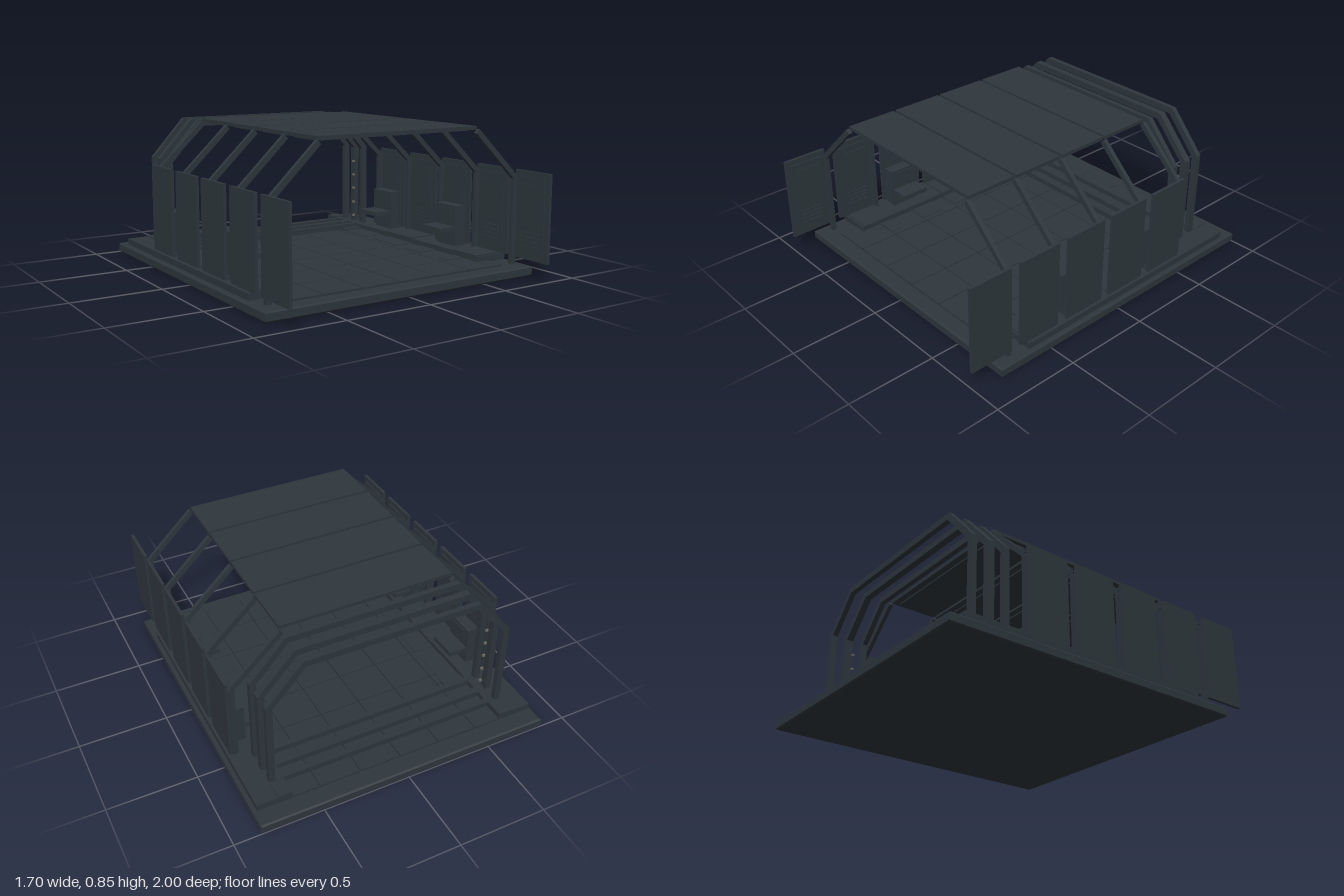
import * as THREE from 'three';

export function createModel() {
  const model = new THREE.Group();
  const mat = (name, color) => {
    const m = new THREE.MeshStandardMaterial({ color });
    m.name = name;
    return m;
  };
  const steel = mat('dark slate steel', 0x2e373d);
  const brass = mat('dull stud metal', 0x6a6a60);

  const add = (name, geo, parent = model, material = steel) => {
    const mesh = new THREE.Mesh(geo, material);
    mesh.name = name;
    parent.add(mesh);
    return mesh;
  };
  // box given by its limits on each axis
  const box = (name, x0, x1, y0, y1, z0, z1, parent, material) => {
    const mesh = add(name, new THREE.BoxGeometry(Math.abs(x1 - x0), y1 - y0, z1 - z0), parent, material);
    mesh.position.set((x0 + x1) / 2, (y0 + y1) / 2, (z0 + z1) / 2);
    return mesh;
  };
  const poly = (Type, pts) => new Type(pts.map(([x, y]) => new THREE.Vector2(x, y)));
  const group = (name) => {
    const g = new THREE.Group();
    g.name = name;
    model.add(g);
    return g;
  };

  // base slab with a small bevel
  const slab = new THREE.ExtrudeGeometry(
    poly(THREE.Shape, [[-0.842, -0.832], [0.842, -0.832], [0.842, 0.992], [-0.842, 0.992]]),
    { depth: 0.039, bevelSize: 0.008, bevelThickness: 0.008, bevelSegments: 1 });
  slab.rotateX(-Math.PI / 2).translate(0, 0.008, 0);
  add('baseSlab', slab);

  // floor tiles
  const floor = group('floor');
  const pitch = 0.237, rows = 7, depth = 1.65 / rows;
  for (let i = 0; i < 6; i++) {
    for (let j = 0; j < rows; j++) {
      const x = -0.711 + i * pitch, z = -0.9 + j * depth;
      box('floorTile', x + 0.003, x + pitch - 0.003, 0.054, 0.066, z + 0.003, z + depth - 0.003, floor);
    }
  }

  const ribZ = [0.748, 0.438, 0.122, -0.197, -0.512];
  const panelStart = [0.745, 0.43, 0.11, -0.205, -0.52];

  // roof panels, each with a shallow tray underneath
  for (let i = 0; i < 4; i++) {
    const z1 = ribZ[i] - 0.004, z0 = ribZ[i + 1] + 0.012;
    const roof = group('roofPanel');
    box('roofSheet', -0.505, 0.505, 0.826, 0.845, z0, z1, roof);
    box('roofTray', -0.48, 0.48, 0.818, 0.826, z0 + 0.04, z1 - 0.04, roof);
  }

  for (const s of [-1, 1]) {
    // raised side walkway
    const walkway = group(s > 0 ? 'leftWalkway' : 'rightWalkway');
    box('walkwayDeck', s * 0.63, s * 0.83, 0.06, 0.096, -0.9, 0.64, walkway);
    box('rearStep', s * 0.5, s * 0.63, 0.06, 0.08, -0.54, -0.5, walkway);
    box('rearPlate', s * 0.63, s * 0.71, 0.096, 0.102, -0.9, -0.8, walkway);
    for (const [a, b] of [[0.44, 0.63], [-0.2, 0.04]]) {
      box('deckPlate', s * 0.62, s * 0.79, 0.096, 0.104, a, b, walkway);
    }
    for (const [a, b] of [[0.44, 0.51], [-0.2, 0.03], [0.13, 0.27], [-0.5, -0.27]]) {
      box('lowStep', s * 0.51, s * 0.63, 0.064, 0.07, a, b, walkway);
    }

    // ribs: upright post and sloping strut
    for (const z of ribZ) {
      const rib = group('rib');
      box('post', s * 0.768, s * 0.8, 0.06, 0.55, z - 0.012, z + 0.012, rib);
      const dx = -0.285, dy = 0.27;
      const strut = add('strut', new THREE.BoxGeometry(Math.hypot(dx, dy), 0.03, 0.024), rib);
      strut.position.set(s * 0.643, 0.683, z);
      strut.rotation.z = s * Math.atan2(dy, dx);
    }

    // wall panels with inner frame, screen and vent slats
    for (const z of panelStart) {
      const wall = group('wallPanel');
      box('wallSheet', s * 0.799, s * 0.817, 0.1, 0.592, z, z + 0.255, wall);
      box('wallInset', s * 0.792, s * 0.799, 0.13, 0.56, z + 0.03, z + 0.225, wall);
      box('wallScreen', s * 0.787, s * 0.792, 0.34, 0.52, z + 0.05, z + 0.205, wall);
      for (let k = 0; k < 4; k++) {
        box('ventSlat', s * 0.786, s * 0.792, 0.17 + k * 0.025, 0.182 + k * 0.025, z + 0.06, z + 0.195, wall);
      }
    }

    // consoles with a projecting shelf
    for (const z of [0.18, -0.45]) {
      const console = group('console');
      box('consoleBody', s * 0.697, s * 0.768, 0.11, 0.337, z, z + 0.18, console);
      box('consoleFoot', s * 0.71, s * 0.79, 0.094, 0.11, z + 0.01, z + 0.17, console);
      box('consoleShelf', s * 0.587, s * 0.697, 0.188, 0.215, z + 0.005, z + 0.175, console);
      box('consoleFace', s * 0.692, s * 0.697, 0.235, 0.32, z + 0.03, z + 0.15, console);
    }
  }

  // closed rear arches
  const arch = (w, top, inset) => [
    [-w, 0.064 + inset], [w, 0.064 + inset], [w, 0.605 - inset * 0.4],
    [0.505 - inset * 0.45, top], [-0.505 + inset * 0.45, top], [-w, 0.605 - inset * 0.4],
  ];
  for (const [z, d, w] of [[-0.57, 0.03, 0.71], [-0.67, 0.04, 0.713], [-0.77, 0.03, 0.71]]) {
    const shape = poly(THREE.Shape, arch(w, 0.832, 0));
    shape.holes.push(poly(THREE.Path, arch(w - 0.036, 0.796, 0.034)));
    const geo = new THREE.ExtrudeGeometry(shape, { depth: d, bevelEnabled: false });
    geo.translate(0, 0, z - d / 2);
    add('rearArch', geo);
  }

  // studs around the inside of the middle arch
  const studs = group('archStuds');
  for (const s of [-1, 1]) {
    for (const y of [0.135, 0.225, 0.32, 0.41, 0.5]) {
      box('sideStud', s * 0.662, s * 0.678, y - 0.006, y + 0.006, -0.654, -0.642, studs, brass);
    }
  }
  for (let i = 0; i < 9; i++) {
    const x = -0.48 + i * 0.12;
    box('floorStud', x - 0.006, x + 0.006, 0.094, 0.1, -0.676, -0.664, studs);
  }
  return model;
}
